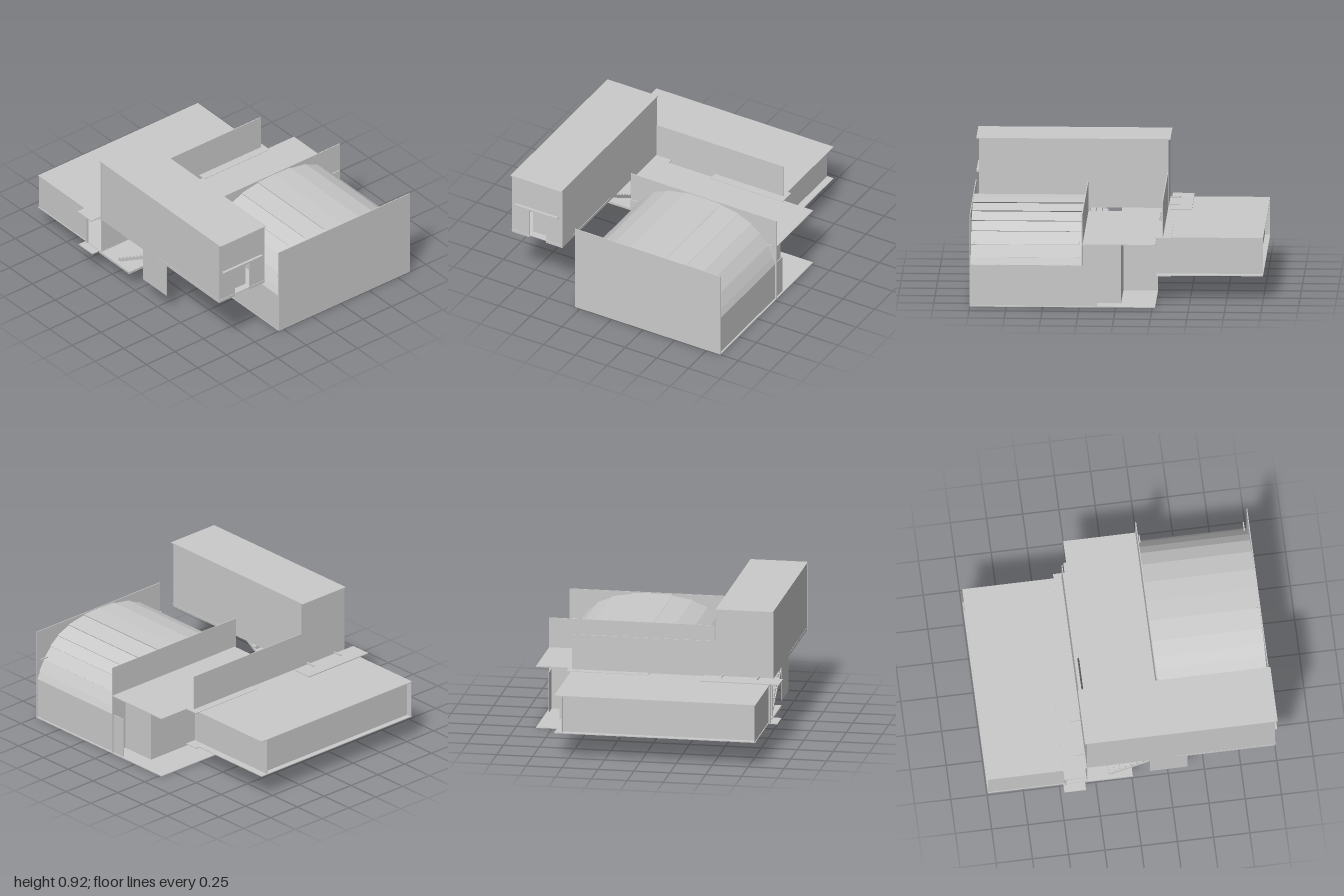
import * as THREE from 'three';

export function createModel() {
  const model = new THREE.Group();
  const grey = new THREE.MeshStandardMaterial({ color: 0xcacaca, side: THREE.DoubleSide });
  grey.name = 'plain grey';

  const add = (name, geometry, parent = model) => {
    const mesh = new THREE.Mesh(geometry, grey);
    mesh.name = name;
    parent.add(mesh);
    return mesh;
  };
  // Box given by its lower and upper limits
  const block = (name, x0, x1, y0, y1, z0, z1, parent = model) => {
    const mesh = add(name, new THREE.BoxGeometry(x1 - x0, y1 - y0, z1 - z0), parent);
    mesh.position.set((x0 + x1) / 2, (y0 + y1) / 2, (z0 + z1) / 2);
    return mesh;
  };
  const section = (name) => {
    const g = new THREE.Group();
    g.name = name;
    model.add(g);
    return g;
  };
  // Straight flight of treads and risers from z0 to z1
  const flight = (x0, x1, y0, y1, z0, z1, steps, parent) => {
    const rise = (y1 - y0) / steps, run = (z1 - z0) / steps;
    for (let i = 0; i < steps; i++) {
      const y = y0 + (i + 1) * rise, z = z0 + i * run;
      block('tread', x0, x1, y - 0.005, y, Math.min(z, z + run), Math.max(z, z + run), parent);
      block('riser', x0, x1, y - rise, y, z - 0.002, z + 0.002, parent);
    }
  };

  // Vaulted hall between two flat end walls
  const hall = section('vaultedHall');
  block('hallFloor', -0.29, 0.86, 0, 0.006, 0.13, 1, hall);
  block('hallFrontWall', -0.29, 0.86, 0, 0.65, 0.994, 1, hall);
  block('hallBackWall', -0.29, 0.86, 0, 0.65, 0.227, 0.233, hall);

  // Lapped roof boards: each lower edge stands out over the board below
  const cx = 0.28;
  const arch = [[0.565, 0.29], [0.548, 0.34], [0.508, 0.42], [0.445, 0.5], [0.38, 0.558],
    [0.28, 0.605], [0.14, 0.635], [0, 0.645]];
  const boards = [];
  for (const side of [-1, 1]) {
    for (let i = 0; i < arch.length - 1; i++) {
      const [px, py] = arch[i], [qx, qy] = arch[i + 1];
      const lap = 0.006 / Math.hypot(qx - px, qy - py);
      const ax = cx + side * (px + (qy - py) * lap), ay = py + (px - qx) * lap;
      const bx = cx + side * qx;
      // The mirrored half swaps two corners so that every board faces outwards
      const a = [ax, ay, 0.995], b = [ax, ay, 0.23], c = [bx, qy, 0.23], d = [bx, qy, 0.995];
      const corners = side > 0 ? [a, b, c, a, c, d] : [a, c, b, a, d, c];
      boards.push(...corners.flat());
    }
  }
  const vault = new THREE.BufferGeometry();
  vault.setAttribute('position', new THREE.Float32BufferAttribute(boards, 3));
  vault.computeVertexNormals();
  add('vaultRoof', vault, hall);
  for (const side of [-1, 1]) {
    const x = cx + side * 0.565;
    block('hallSideWall', x - 0.003, x + 0.003, 0, 0.29, 0.13, 0.995, hall);
    for (const z of [0.25, 0.97])
      block('vaultPin', cx + side * 0.53 - 0.03, cx + side * 0.53 + 0.03, 0.44, 0.447, z - 0.004, z + 0.004, hall);
  }

  // Middle section: flat roof over an inset room, open towards the stair
  const middle = section('middleSection');
  block('middleRoof', -0.28, 0.86, 0.434, 0.44, -0.27, 0.23, middle);
  block('middleFloor', 0.3, 0.86, 0, 0.006, -0.27, 0.13, middle);
  block('middleEastWall', 0.734, 0.74, 0, 0.435, -0.03, 0.23, middle);
  block('middleBackWall', 0.3, 0.74, 0, 0.435, -0.033, -0.027, middle);
  block('middleWestWall', 0.297, 0.303, 0, 0.435, -0.27, 0.23, middle);
  flight(0.1, 0.295, 0, 0.175, 0.13, -0.27, 8, middle);
  block('roofStrip', 0.06, 0.63, 0.437, 0.443, -0.37, -0.25, middle);
  block('porchFloor', -0.4, 0.63, 0.172, 0.178, -0.37, -0.27, middle);

  // Low rear wing: side walls run past the back wall as fins
  const wing = section('rearWing');
  block('wingRoof', -0.8, 0.6, 0.434, 0.44, -1, -0.31, wing);
  block('wingFloor', -0.8, 0.6, 0.172, 0.178, -1, -0.31, wing);
  block('wingBackWall', -0.785, 0.55, 0.175, 0.435, -0.963, -0.957, wing);
  block('wingFrontWall', -0.42, 0.55, 0.175, 0.435, -0.316, -0.31, wing);
  block('wingEastWall', 0.544, 0.55, 0.175, 0.435, -0.998, -0.27, wing);
  block('wingWestWall', -0.795, -0.789, 0.175, 0.435, -0.998, -0.47, wing);
  block('parapetWall', -0.4, 0.6, 0.44, 0.69, -0.315, -0.309, wing);

  // Long raised block
  const tower = section('raisedBlock');
  block('towerRoof', -0.8, -0.4, 0.914, 0.92, -0.33, 1, tower);
  block('towerFloor', -0.8, -0.4, 0.457, 0.463, 0.3, 0.985, tower);
  block('towerEastWall', -0.408, -0.402, 0.44, 0.915, -0.31, 0.975, tower);
  block('towerWestWall', -0.798, -0.792, 0.44, 0.915, -0.31, 0.975, tower);
  block('towerBackWall', -0.8, -0.4, 0.44, 0.915, -0.317, -0.311, tower);

  // Front wall with a doorway and a small canopy
  const face = new THREE.Shape([[-0.8, 0.44], [-0.66, 0.44], [-0.66, 0.67], [-0.53, 0.67],
    [-0.53, 0.44], [-0.4, 0.44], [-0.4, 0.915], [-0.8, 0.915]].map(([x, y]) => new THREE.Vector2(x, y)));
  add('towerFrontWall', new THREE.ExtrudeGeometry(face, { depth: 0.006, bevelEnabled: false }), tower).position.z = 0.975;
  block('doorPanel', -0.66, -0.53, 0.46, 0.67, 0.93, 0.935, tower);
  block('doorCanopy', -0.77, -0.43, 0.675, 0.688, 0.98, 1, tower);

  // Entry below the raised block
  const entry = section('entry');
  block('entryFloor', -0.8, -0.29, 0.155, 0.172, -0.33, 0, entry);
  block('entryRoof', -0.4, -0.28, 0.434, 0.44, -0.33, 0, entry);
  block('entrySideWall', -0.428, -0.422, 0.17, 0.46, -0.31, 0, entry);
  block('entryBackWall', -0.795, -0.43, 0.17, 0.46, -0.317, -0.311, entry);
  block('entryScreen', -0.778, -0.772, 0.17, 0.46, 0.12, 0.38, entry);
  block('entryLintel', -0.43, -0.315, 0.39, 0.41, -0.02, 0, entry);
  block('entrySill', -0.43, -0.315, 0.17, 0.22, -0.02, 0, entry);

  // Stair rising to the front, with sloping side beams
  const stair = section('stair');
  const z0 = -0.16, z1 = 0.3, y0 = 0.17, y1 = 0.455;
  flight(-0.76, -0.43, y0, y1, z0, z1, 12, stair);
  for (const x of [-0.765, -0.428]) {
    const beam = add('stairBeam', new THREE.BoxGeometry(0.006, 0.02, Math.hypot(z1 - z0, y1 - y0)), stair);
    beam.position.set(x, (y0 + y1) / 2, (z0 + z1) / 2);
    beam.rotation.x = -Math.atan2(y1 - y0, z1 - z0);
  }

  // Thin rear canopy on a post
  const canopy = section('rearCanopy');
  block('canopyPlate', -0.87, -0.32, 0.443, 0.45, -0.48, -0.33, canopy);
  for (const x of [-0.7, -0.45])
    block('canopyPin', x - 0.005, x + 0.005, 0.45, 0.46, -0.39, -0.32, canopy);
  block('canopyPost', -0.81, -0.795, 0.17, 0.445, -0.47, -0.455, canopy);
  block('canopyStep', -0.86, -0.79, 0.167, 0.173, -0.48, -0.33, canopy);

  return model;
}
